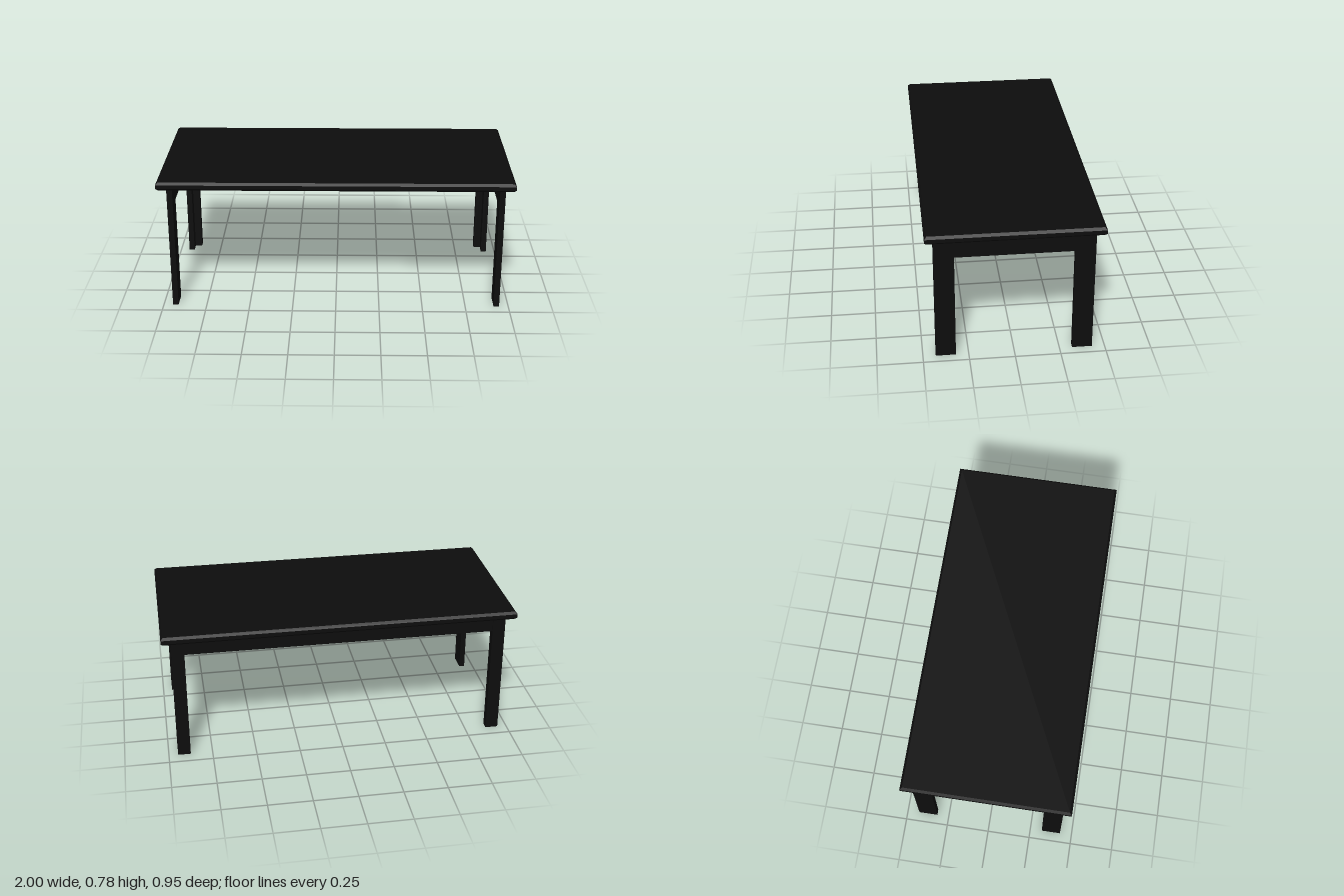
import * as THREE from 'three';

const BLACK = new THREE.MeshStandardMaterial({ color: 0x0d0d0d });
const UNDER = 0.73; // underside of the table top

// Box given by its min and max corners
function box(parent, name, [x0, y0, z0], [x1, y1, z1]) {
  const mesh = new THREE.Mesh(new THREE.BoxGeometry(x1 - x0, y1 - y0, z1 - z0), BLACK);
  mesh.position.set((x0 + x1) / 2, (y0 + y1) / 2, (z0 + z1) / 2);
  mesh.name = name;
  parent.add(mesh);
}

// Slab with chamfered upper and lower edges
function tableTop() {
  const w = 1, d = 0.475, h = 0.047, size = 0.013, bevel = 0.013;
  const x = w - size, z = d - size;
  const shape = new THREE.Shape([[-x, -z], [x, -z], [x, z], [-x, z]].map(p => new THREE.Vector2(...p)));
  const geo = new THREE.ExtrudeGeometry(shape, {
    depth: h - 2 * bevel, bevelEnabled: true, bevelSegments: 1, bevelSize: size, bevelThickness: bevel,
  });
  geo.rotateX(-Math.PI / 2);
  geo.translate(0, UNDER + bevel, 0);
  const mesh = new THREE.Mesh(geo, BLACK);
  mesh.name = 'tableTop';
  return mesh;
}

export function createModel() {
  const table = new THREE.Group();
  table.name = 'table';
  table.add(tableTop());

  for (const side of [1, -1]) {
    const tag = side > 0 ? 'Left' : 'Right';
    const span = (a, b) => [Math.min(side * a, side * b), Math.max(side * a, side * b)];
    const [p0, p1] = span(0.915, 0.947); // side plates
    const [r0, r1] = span(0.875, 0.915); // inward return of the back legs

    // Front leg: a flat plate
    box(table, `front${tag}Leg`, [p0, 0, 0.32], [p1, UNDER, 0.43]);

    // Back leg: L-shaped section
    const back = new THREE.Group();
    back.name = `back${tag}Leg`;
    box(back, 'sidePlate', [p0, 0, -0.43], [p1, UNDER, -0.32]);
    box(back, 'backPlate', [r0, 0, -0.43], [r1, UNDER, -0.385]);
    table.add(back);

    // Side apron between front and back legs
    box(table, `${tag.toLowerCase()}Apron`, [p0, 0.618, -0.32], [p1, UNDER, 0.32]);
  }

  // Back rail; the front stays open
  box(table, 'backRail', [-0.875, 0.643, -0.425], [0.875, UNDER, -0.39]);
  return table;
}
